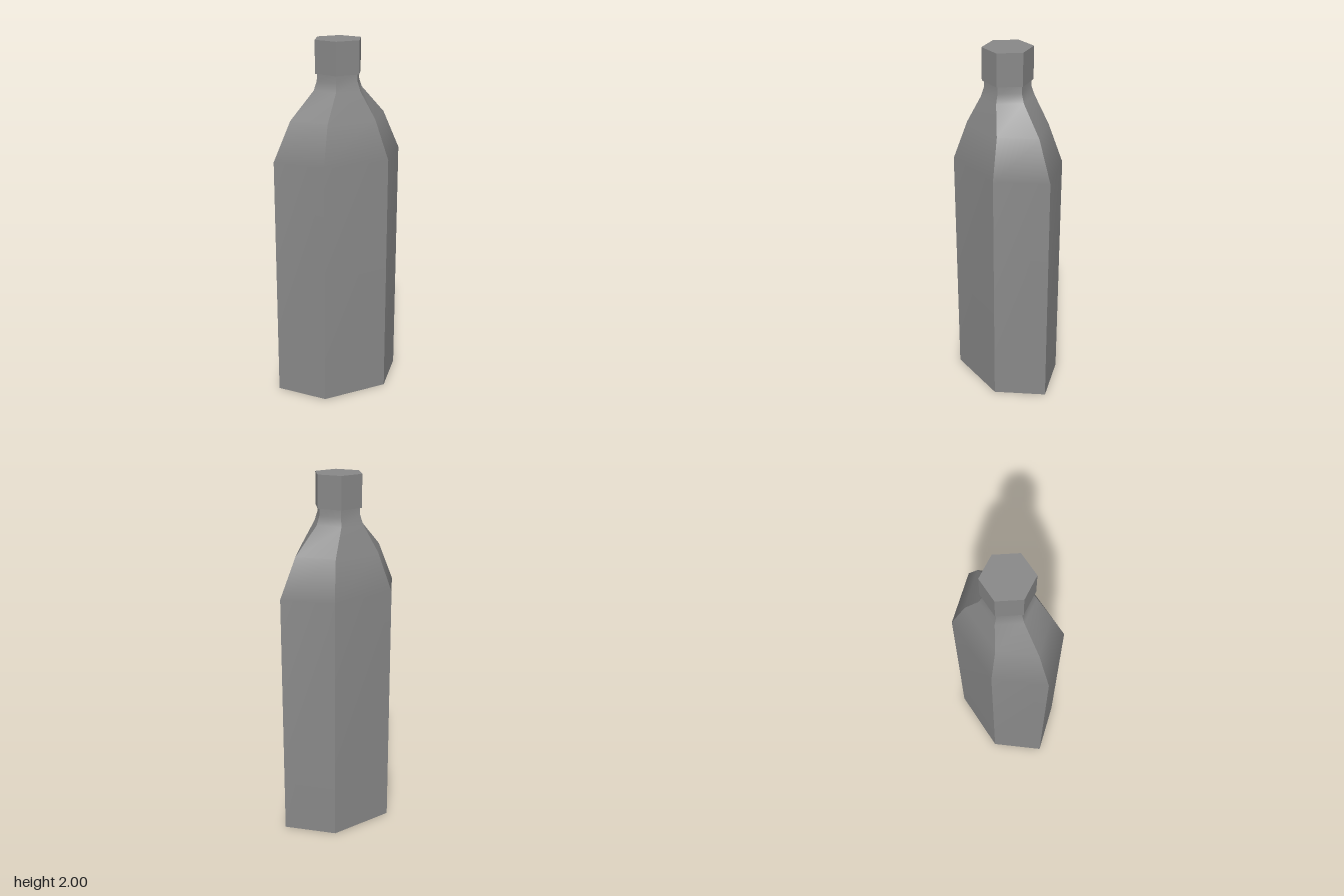
import * as THREE from 'three';

const SIDES = 6;

// Six-sided skin through rings [y, half width in x, half depth in z].
// Each side is its own strip: smooth up the side, sharp along the corners.
function hexLoft(rings) {
  const pos = [], index = [];
  const corner = ([y, hx, hz], i) => {
    const a = (i % SIDES) * Math.PI / 3;
    return [hx * Math.cos(a), y, -hz * Math.sin(a) / Math.sin(Math.PI / 3)];
  };
  for (let i = 0; i < SIDES; i++) {
    const start = pos.length / 3;
    rings.forEach((ring, r) => {
      pos.push(...corner(ring, i), ...corner(ring, i + 1));
      if (r === 0) return;
      const a = start + (r - 1) * 2;
      index.push(a, a + 1, a + 3, a, a + 3, a + 2);
    });
  }
  // Flat lids at the bottom and top
  for (const [ring, up] of [[rings[0], false], [rings[rings.length - 1], true]]) {
    const s = pos.length / 3;
    for (let i = 0; i < SIDES; i++) pos.push(...corner(ring, i));
    for (let i = 1; i < SIDES - 1; i++) {
      index.push(s, ...(up ? [s + i, s + i + 1] : [s + i + 1, s + i]));
    }
  }
  const geo = new THREE.BufferGeometry();
  geo.setAttribute('position', new THREE.Float32BufferAttribute(pos, 3));
  geo.setIndex(index);
  geo.computeVertexNormals();
  return geo;
}

export function createModel() {
  const group = new THREE.Group();
  group.name = 'bottle';
  const material = new THREE.MeshStandardMaterial({ color: 0x888888 });
  const add = (name, rings) => {
    const mesh = new THREE.Mesh(hexLoft(rings), material);
    mesh.name = name;
    group.add(mesh);
  };

  // Straight body, sloping shoulders and narrow neck
  add('body', [
    [0, 0.38, 0.227],
    [1.37, 0.38, 0.227],
    [1.585, 0.28, 0.167],
    [1.735, 0.143, 0.123],
    [1.785, 0.125, 0.108],
    [1.84, 0.123, 0.106],
  ]);

  // Cap, slightly wider than the neck
  add('cap', [
    [1.823, 0.135, 0.117],
    [2, 0.135, 0.117],
  ]);

  return group;
}
